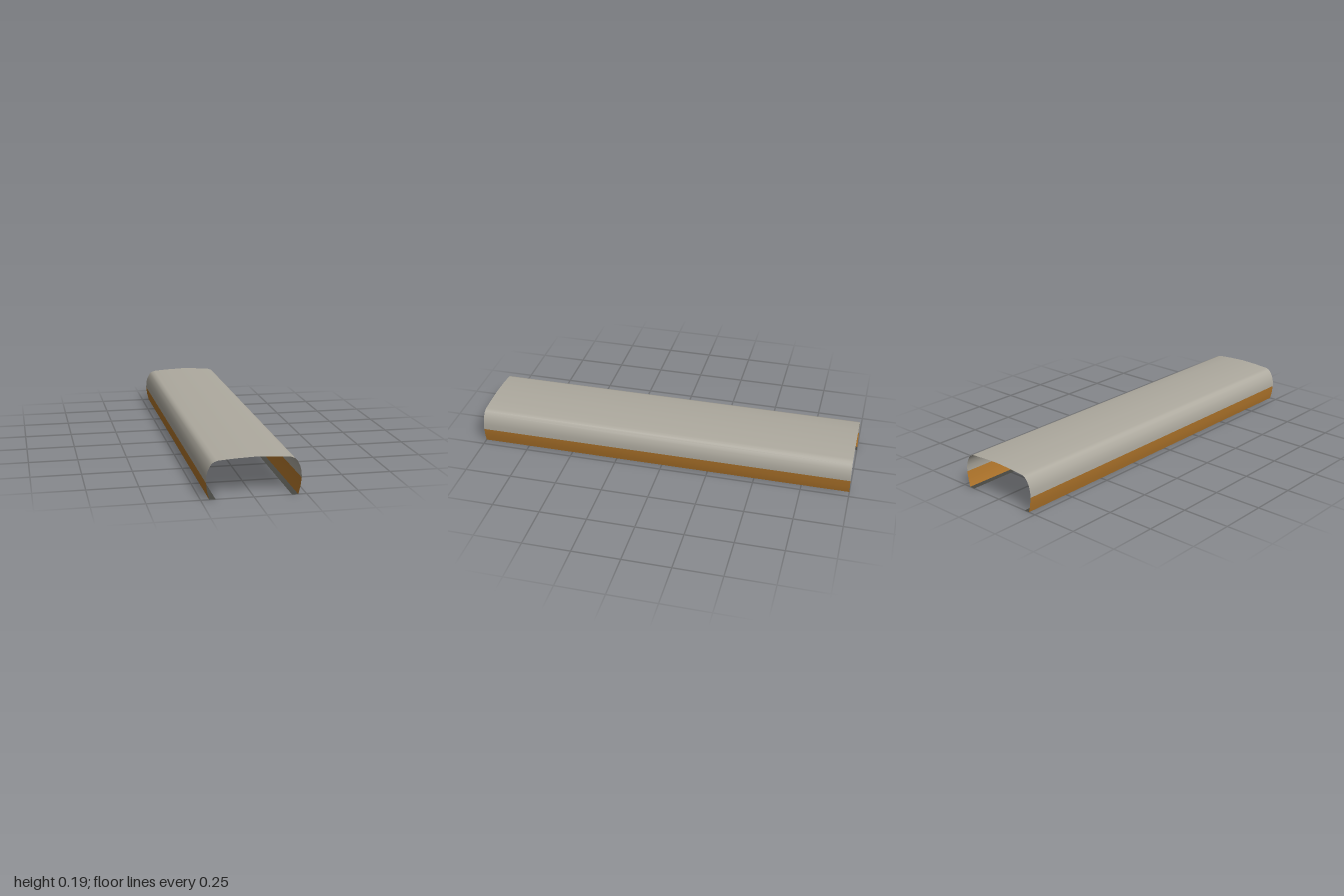
import * as THREE from 'three';

const paint = (name, color) => new THREE.MeshStandardMaterial({ name, color, side: THREE.DoubleSide });

// Open sheet: a cross-section [x, y] drawn out along z, outside facing out
function sheet(name, profile, material) {
  const positions = [], index = [];
  profile.forEach(([x, y], i) => {
    positions.push(x, y, -1, x, y, 1);
    if (i < profile.length - 1) {
      const a = 2 * i;
      index.push(a, a + 2, a + 3, a, a + 3, a + 1);
    }
  });
  const geometry = new THREE.BufferGeometry();
  geometry.setAttribute('position', new THREE.Float32BufferAttribute(positions, 3));
  geometry.setIndex(index);
  geometry.computeVertexNormals();
  const mesh = new THREE.Mesh(geometry, material);
  mesh.name = name;
  return mesh;
}

// Mirrored profile, reversed so that the outside still faces out
const mirror = (profile) => profile.map(([x, y]) => [-x, y]).reverse();

export function createModel() {
  const grey = paint('warm grey', 0xaeaa9f);
  const orange = paint('ochre orange', 0xb4782c);
  const dark = paint('dark grey', 0x484842);
  const group = new THREE.Group();
  group.name = 'coverShell';

  // Half sections on the +x side, from the bottom up
  const lip = [[0.18, 0], [0.21, 0]];
  const skirt = [[0.21, 0], [0.22, 0.04], [0.225, 0.08]];
  const shoulder = [[0.225, 0.08], [0.224, 0.11], [0.216, 0.14], [0.202, 0.165], [0.19, 0.176], [0.172, 0.183]];

  // Shallow crowned roof with rounded shoulders
  const roof = [...shoulder, [0.09, 0.189], [0, 0.1925], [-0.09, 0.189], ...mirror(shoulder)];
  group.add(sheet('roof', roof, grey));

  // Coloured lower sides and the lips turned inward below them
  group.add(sheet('leftSkirt', skirt, orange), sheet('rightSkirt', mirror(skirt), orange));
  group.add(sheet('leftLip', lip, dark), sheet('rightLip', mirror(lip), dark));
  return group;
}
